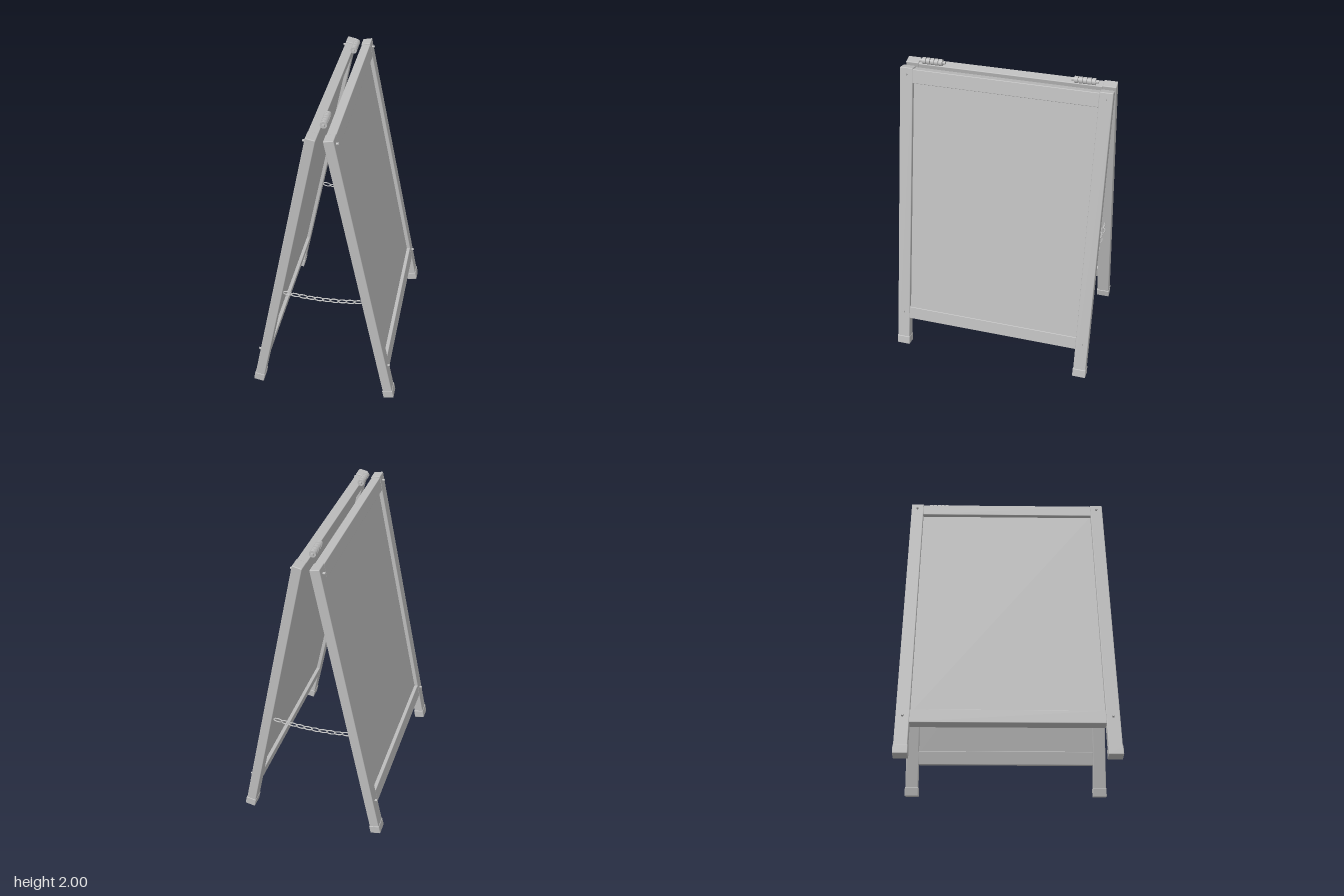
import * as THREE from 'three';
import { RoundedBoxGeometry } from 'three/addons/geometries/RoundedBoxGeometry.js';

const grey = new THREE.MeshStandardMaterial({ color: 0xbcbcbc });
grey.name = 'plain grey';

const TILT = 0.2;          // lean of each board
const LEG_LENGTH = 1.985;
const LEG_Z = 0.625;       // distance of the legs from the middle

function add(parent, name, geometry, x, y, z) {
  const mesh = new THREE.Mesh(geometry, grey);
  mesh.name = name;
  mesh.position.set(x, y, z);
  parent.add(mesh);
  return mesh;
}

// One leaning board; local y runs up the legs, local +x is the outer face
function makeBoard(name) {
  const board = new THREE.Group();
  board.name = name;
  const leg = new RoundedBoxGeometry(0.062, LEG_LENGTH, 0.084, 2, 0.005);
  const foot = new RoundedBoxGeometry(0.069, 0.06, 0.09, 2, 0.005);
  const rail = new RoundedBoxGeometry(0.06, 0.09, 1.17, 2, 0.004);
  const bolt = new THREE.CylinderGeometry(0.007, 0.008, 0.03, 12).rotateZ(-Math.PI / 2);

  for (const side of [-1, 1]) {
    const z = side * LEG_Z;
    add(board, 'leg', leg, 0, LEG_LENGTH / 2, z);
    add(board, 'footCap', foot, 0, 0.03, z);
    for (const y of [0.255, 1.942]) add(board, 'bolt', bolt, 0.031, y, z);
  }
  add(board, 'topRail', rail, 0, 1.933, 0);
  add(board, 'bottomRail', rail, 0, 0.254, 0);
  add(board, 'panel', new THREE.BoxGeometry(0.012, 1.62, 1.17), 0, 1.094, 0);

  board.rotation.z = TILT;
  board.position.set(0.445, 0.007, 0);
  return board;
}

// Hinge barrel: five knuckles on a pin lying along z
function makeHinge(z) {
  const hinge = new THREE.Group();
  hinge.name = 'hinge';
  const pin = new THREE.CylinderGeometry(0.009, 0.009, 0.166, 16).rotateX(Math.PI / 2);
  const knuckle = new THREE.CylinderGeometry(0.021, 0.021, 0.022, 24).rotateX(Math.PI / 2);
  add(hinge, 'hingePin', pin, 0, 0, 0);
  for (let i = -2; i <= 2; i++) add(hinge, 'hingeKnuckle', knuckle, 0, 0, i * 0.027);
  hinge.position.set(0, 1.979, z);
  return hinge;
}

// Sagging chain of oval links, every second one turned a quarter
function makeChain(z) {
  const chain = new THREE.Group();
  chain.name = 'chain';
  const points = [];
  for (let i = 0; i < 12; i++) {
    const a = (i / 12) * Math.PI * 2;
    points.push(new THREE.Vector3(0.028 * Math.cos(a), 0.013 * Math.sin(a), 0));
  }
  const oval = new THREE.CatmullRomCurve3(points, true);
  const link = new THREE.TubeGeometry(oval, 28, 0.004, 8, true);
  const sag = 0.3;
  for (let i = 0; i < 10; i++) {
    const x = -0.228 + i * 0.0504;
    const mesh = add(chain, 'chainLink', link, x, 0.761 + sag * x * x, z);
    mesh.rotation.order = 'ZYX';
    mesh.rotation.set(i % 2 ? Math.PI / 2 : 0, 0, Math.atan(2 * sag * x));
  }
  return chain;
}

export function createModel() {
  const model = new THREE.Group();
  model.name = 'sandwichBoard';

  // Two boards back to back
  model.add(makeBoard('leftBoard'));
  const right = new THREE.Group();
  right.name = 'rightSide';
  right.add(makeBoard('rightBoard'));
  right.rotation.y = Math.PI;
  model.add(right);

  for (const side of [-1, 1]) {
    model.add(makeHinge(side * 0.48));
    model.add(makeChain(side * LEG_Z));
  }
  return model;
}
